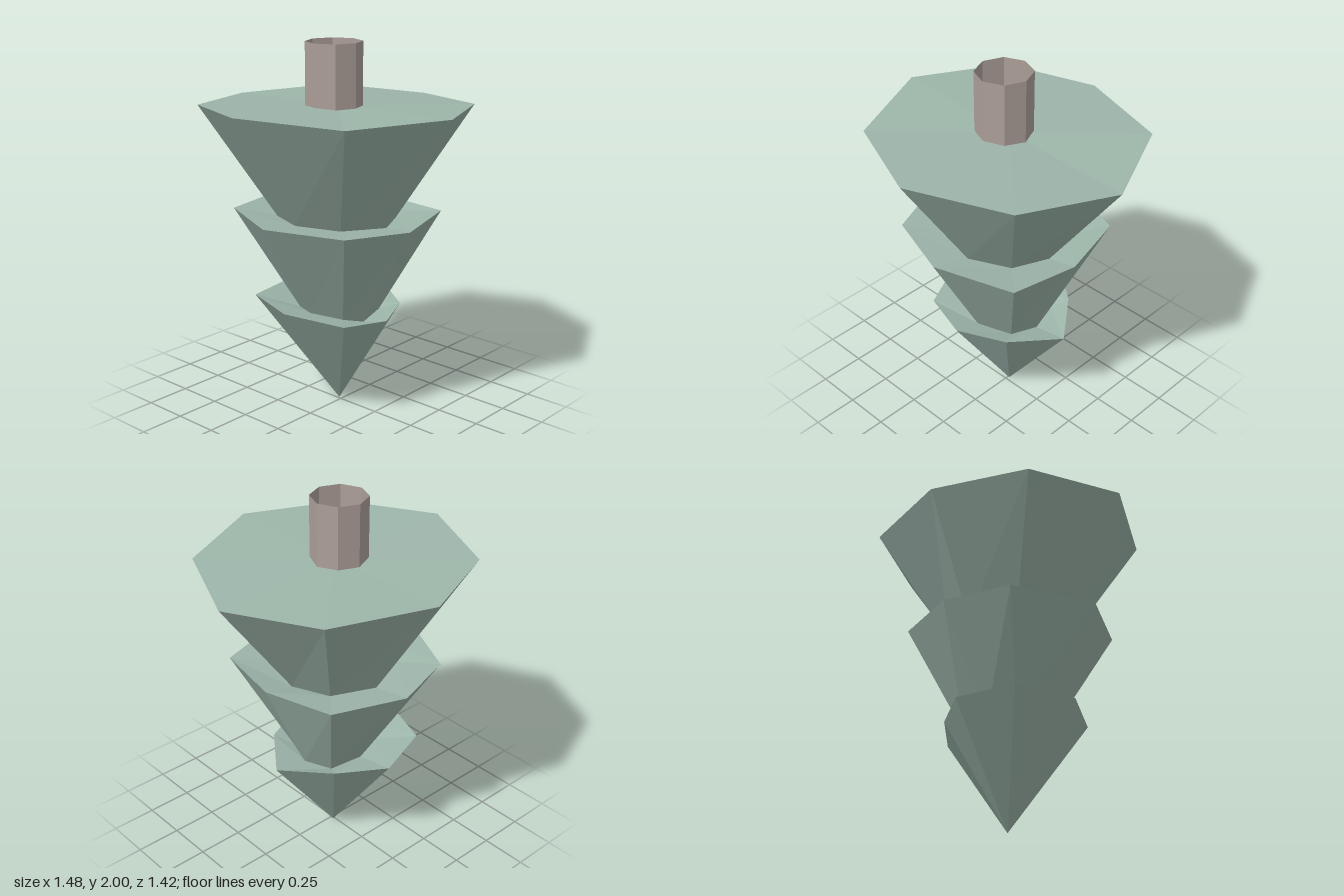
import * as THREE from 'three';

const SIDES = 8;

// Pack a flat list into ring points, running front, right side, back, left side
const ring = (...n) => Array.from({ length: SIDES }, (_, i) => n.slice(i * 3, i * 3 + 3));
const point = (x, y, z) => Array.from({ length: SIDES }, () => [x, y, z]);

// Join successive rings with flat facets, skipping collapsed triangles
function skin(rings) {
  const pos = [];
  const same = (p, q) => p.every((v, k) => v === q[k]);
  const tri = (a, b, c) => {
    if (!same(a, b) && !same(b, c) && !same(a, c)) pos.push(...a, ...b, ...c);
  };
  for (let r = 0; r < rings.length - 1; r++) {
    const lo = rings[r], hi = rings[r + 1];
    for (let i = 0; i < SIDES; i++) {
      const j = (i + 1) % SIDES;
      tri(lo[i], lo[j], hi[j]);
      tri(lo[i], hi[j], hi[i]);
    }
  }
  const geo = new THREE.BufferGeometry();
  geo.setAttribute('position', new THREE.Float32BufferAttribute(pos, 3));
  geo.computeVertexNormals();
  return geo;
}

export function createModel() {
  const group = new THREE.Group();
  const leaf = new THREE.MeshStandardMaterial({ color: 0x9db5aa, flatShading: true });
  const bark = new THREE.MeshStandardMaterial({ color: 0xad9f99, flatShading: true, side: THREE.DoubleSide });

  // Wide rims of the three tiers and the narrow waists between them
  const tip = point(0.01, 0, -0.02);
  const rim1 = ring(
    -0.03, 0.565, 0.35, 0.23, 0.565, 0.23, 0.42, 0.55, -0.02, 0.23, 0.57, -0.27,
    0, 0.59, -0.45, -0.3, 0.615, -0.36, -0.42, 0.62, -0.02, -0.29, 0.585, 0.28);
  const waist1 = ring(
    -0.03, 0.52, 0.19, 0.17, 0.525, 0.13, 0.22, 0.515, -0.02, 0.17, 0.525, -0.18,
    -0.01, 0.54, -0.22, -0.155, 0.555, -0.16, -0.22, 0.57, -0.02, -0.15, 0.555, 0.15);
  const rim2 = ring(
    -0.03, 1.08, 0.495, 0.41, 1.08, 0.36, 0.475, 1.07, -0.02, 0.38, 1.08, -0.41,
    0, 1.085, -0.56, -0.35, 1.1, -0.46, -0.56, 1.11, -0.02, -0.4, 1.1, 0.38);
  const waist2 = ring(
    0.02, 1.055, 0.3, 0.23, 1.045, 0.19, 0.3, 1.03, -0.02, 0.23, 1.045, -0.24,
    0.01, 1.055, -0.35, -0.23, 1.07, -0.25, -0.33, 1.08, -0.02, -0.225, 1.07, 0.2);
  const rim3 = ring(
    0.01, 1.68, 0.71, 0.525, 1.66, 0.475, 0.74, 1.635, -0.025, 0.52, 1.66, -0.525,
    -0.03, 1.655, -0.715, -0.52, 1.675, -0.53, -0.74, 1.7, -0.03, -0.52, 1.675, 0.49);
  const top = point(0, 1.665, -0.025);

  const tiers = {
    pointedTier: [tip, rim1, waist1],
    middleTier: [waist1, rim2, waist2],
    wideTier: [waist2, rim3, top],
  };
  for (const [name, rings] of Object.entries(tiers)) {
    const mesh = new THREE.Mesh(skin(rings), leaf);
    mesh.name = name;
    group.add(mesh);
  }

  // Hollow trunk rising from the widest tier
  const trunk = new THREE.Mesh(new THREE.CylinderGeometry(0.15, 0.15, 0.36, SIDES, 1, true), bark);
  trunk.name = 'trunk';
  trunk.position.set(-0.03, 1.82, -0.02);
  group.add(trunk);

  return group;
}
